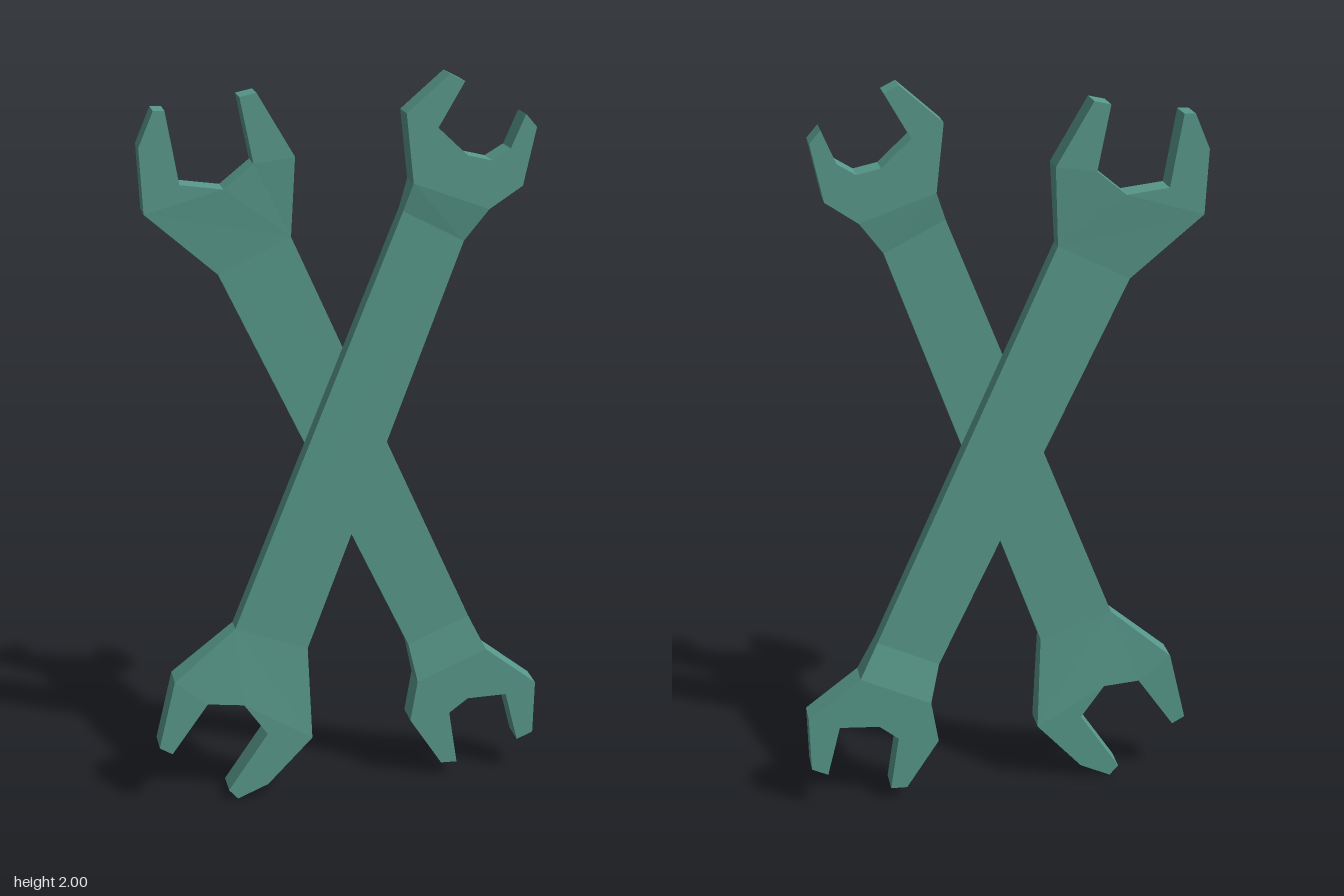
import * as THREE from 'three';

const steel = new THREE.MeshStandardMaterial({ color: 0x58998b });
steel.name = 'green steel';
steel.flatShading = true;

const SHAFT = 0.029; // half thickness of the shaft
const HEAD = 0.0425; // half thickness of the heads

// Head outlines run from one shaft corner, round the jaw, to the other shaft corner.
const frontSmall = [[0.305, 1.555], [0.37, 1.64], [0.46, 1.70], [0.495, 1.855], [0.465, 1.89], [0.425, 1.80],
  [0.375, 1.77], [0.31, 1.785], [0.23, 1.86], [0.30, 1.98], [0.26, 2.0], [0.145, 1.90], [0.165, 1.715], [0.14, 1.64]];
const frontLarge = [[-0.32, 0.50], [-0.49, 0.36], [-0.535, 0.17], [-0.50, 0.15], [-0.40, 0.29], [-0.30, 0.28],
  [-0.235, 0.19], [-0.345, 0.03], [-0.32, 0.003], [-0.235, 0.04], [-0.11, 0.17], [-0.12, 0.43]];
const backLarge = [[-0.15, 1.57], [-0.14, 1.785], [-0.24, 1.955], [-0.285, 1.945], [-0.25, 1.77], [-0.33, 1.705],
  [-0.445, 1.72], [-0.48, 1.915], [-0.51, 1.915], [-0.55, 1.82], [-0.54, 1.645], [-0.345, 1.475]];
const backSmall = [[0.175, 0.40], [0.20, 0.29], [0.18, 0.175], [0.27, 0.04], [0.315, 0.04], [0.292, 0.19],
  [0.345, 0.23], [0.455, 0.235], [0.49, 0.095], [0.535, 0.115], [0.54, 0.265], [0.395, 0.375], [0.345, 0.475]];

// Split a large head into its sloping neck and two jaws
function largePieces(h) {
  return [
    [h[0], h[1], h[4], h[5], h[6], h[10], h[11]],
    h.slice(1, 5),
    h.slice(6, 11),
  ];
}

// Split a small head into its short sloping neck and the jaw block
function smallPieces(h) {
  const n = h.length;
  return [[h[0], h[1], h[n - 2], h[n - 1]], h.slice(1, n - 1)];
}

function wrench(name, large, small, zShaft, zHead) {
  const ends = [large[0], large.at(-1), small[0], small.at(-1)];
  const outline = [...large, ...small];
  const pos = [];
  const vertex = (p, side) => {
    const z = ends.includes(p) ? zShaft + side * SHAFT : zHead + side * HEAD;
    pos.push(p[0], p[1], z);
  };
  const ccw = (list) => {
    const v = list.map((p) => new THREE.Vector2(...p));
    return THREE.ShapeUtils.isClockWise(v) ? [...list].reverse() : list;
  };

  // Front and back faces
  const shaft = [large[0], large.at(-1), small[0], small.at(-1)];
  for (const piece of [shaft, ...largePieces(large), ...smallPieces(small)]) {
    const pts = ccw(piece);
    const tris = THREE.ShapeUtils.triangulateShape(pts.map((p) => new THREE.Vector2(...p)), []);
    for (const [a, b, c] of tris) {
      [a, b, c].forEach((i) => vertex(pts[i], 1));
      [c, b, a].forEach((i) => vertex(pts[i], -1));
    }
  }

  // Edge walls
  const rim = ccw(outline);
  rim.forEach((p, i) => {
    const q = rim[(i + 1) % rim.length];
    vertex(p, -1); vertex(q, -1); vertex(q, 1);
    vertex(p, -1); vertex(q, 1); vertex(p, 1);
  });

  const geo = new THREE.BufferGeometry();
  geo.setAttribute('position', new THREE.Float32BufferAttribute(pos, 3));
  geo.computeVertexNormals();
  const mesh = new THREE.Mesh(geo, steel);
  mesh.name = name;
  return mesh;
}

export function createModel() {
  const group = new THREE.Group();
  group.name = 'crossedWrenches';
  group.add(wrench('frontWrench', frontLarge, frontSmall, 0.028, 0.0275));
  group.add(wrench('backWrench', backLarge, backSmall, -0.03, -0.0315));
  return group;
}
